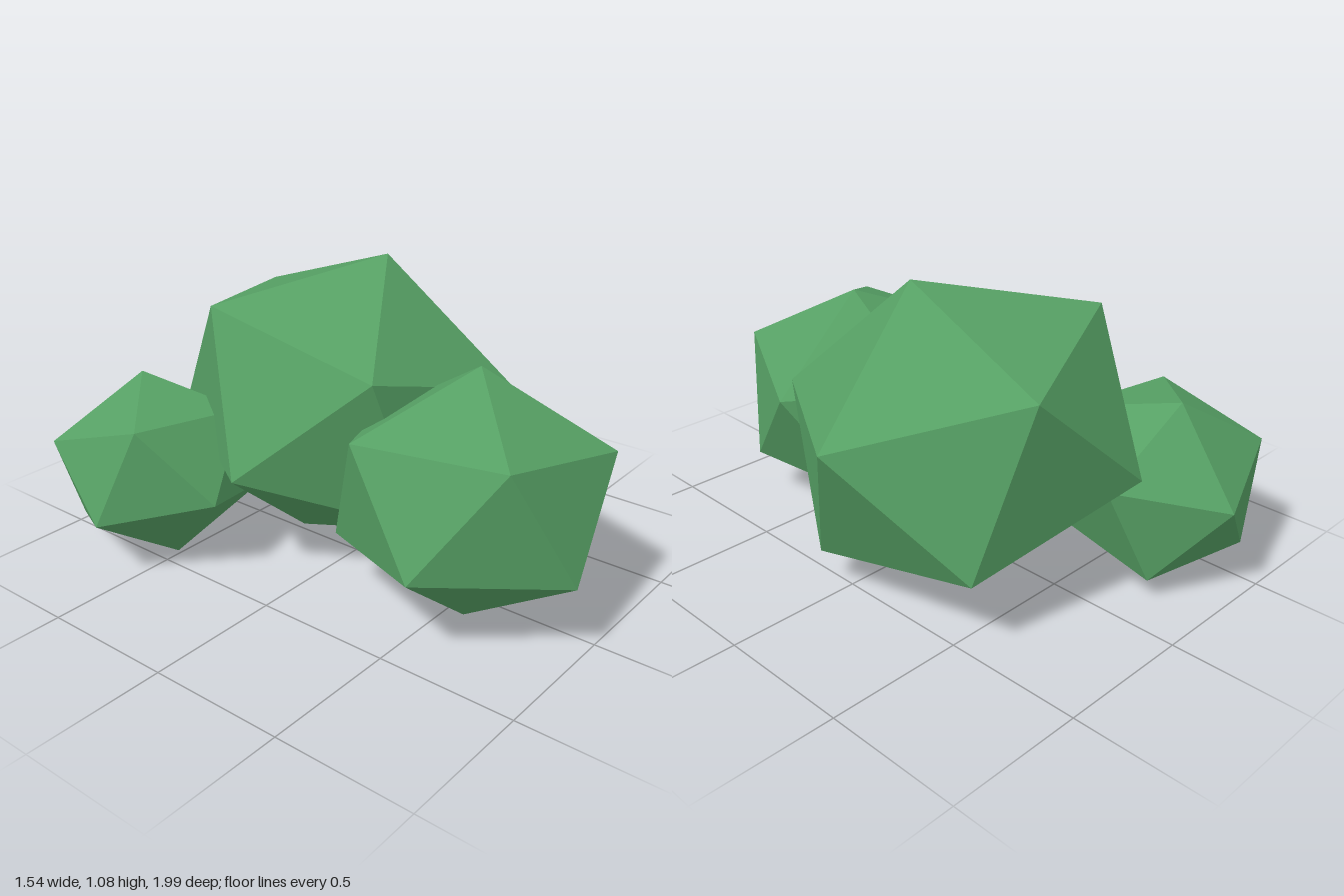
import * as THREE from 'three';
import { ConvexGeometry } from 'three/addons/geometries/ConvexGeometry.js';

// A slightly squashed, tilted icosahedron: six half-axes, each giving two opposite corners.
function clump(name, center, axes, material) {
  const points = [];
  for (const axis of axes) {
    const v = new THREE.Vector3(...axis);
    points.push(v, v.clone().negate());
  }
  const mesh = new THREE.Mesh(new ConvexGeometry(points), material);
  mesh.name = name;
  mesh.position.set(...center);
  return mesh;
}

export function createModel() {
  const group = new THREE.Group();
  group.name = 'bush';
  const leafGreen = new THREE.MeshStandardMaterial({ color: 0x56a064, flatShading: true });
  leafGreen.name = 'leaf green';

  // Main clump in the middle
  group.add(clump('largeFoliage', [0.141, 0.548, -0.172], [
    [0.121, 0.536, 0.106], [0.627, 0.124, -0.016], [0.266, 0.087, 0.577],
    [-0.388, 0.262, 0.435], [-0.432, 0.406, -0.245], [0.196, 0.318, -0.519],
  ], leafGreen));

  // Medium clump at the front
  group.add(clump('frontFoliage', [-0.046, 0.43, 0.532], [
    [0.073, 0.425, -0.032], [0.238, 0.184, 0.396], [-0.285, 0.269, 0.31],
    [-0.367, 0.245, -0.231], [0.476, 0.107, -0.078], [0.103, 0.147, -0.464],
  ], leafGreen));

  // Small clump at the back
  group.add(clump('backFoliage', [-0.396, 0.335, -0.618], [
    [0.036, 0.325, -0.107], [-0.255, 0.248, 0.171], [0.16, 0.231, 0.272],
    [0.094, 0.028, -0.379], [0.374, 0.097, -0.07], [-0.294, 0.12, -0.234],
  ], leafGreen));

  return group;
}
